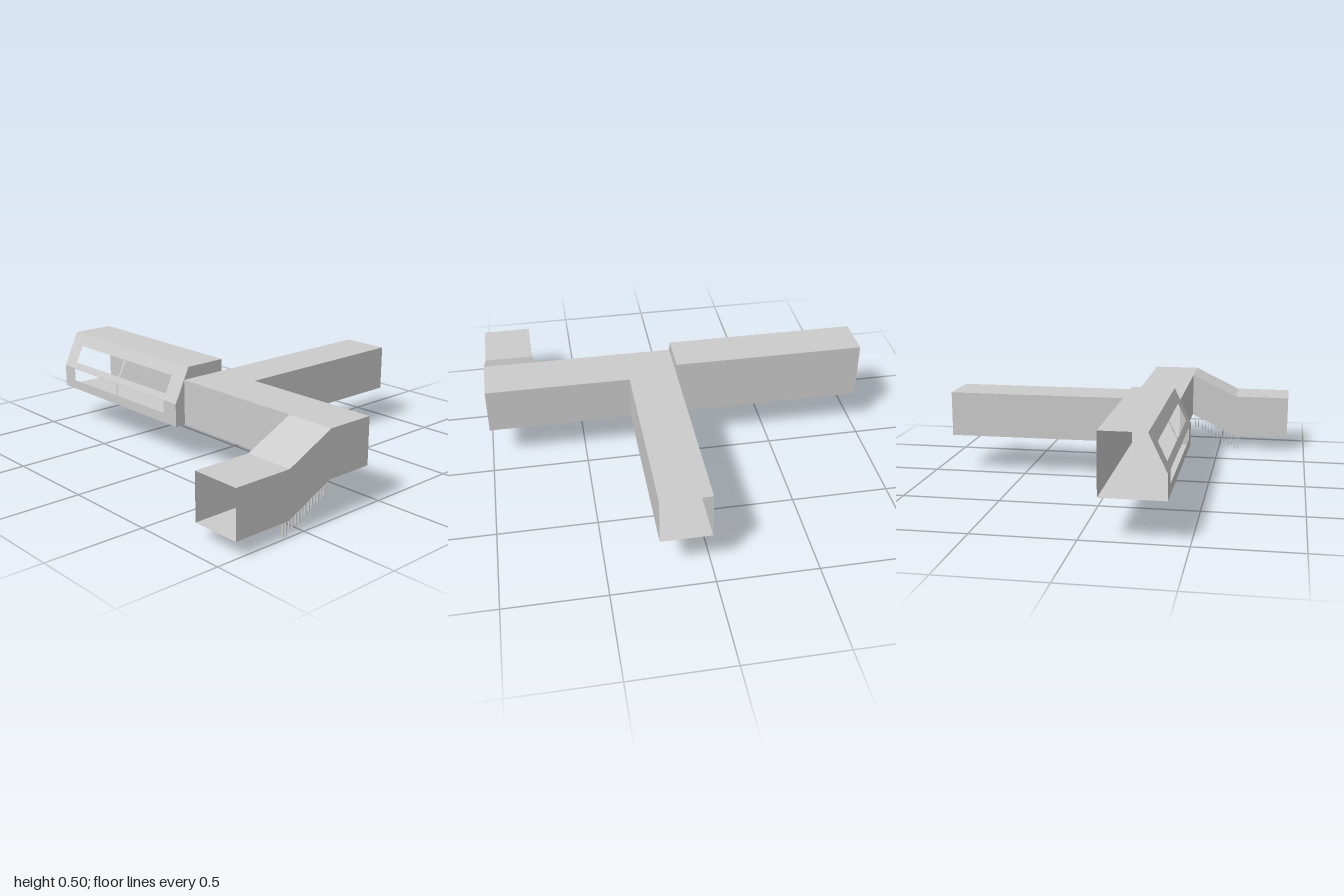
import * as THREE from 'three';

const material = new THREE.MeshStandardMaterial({ color: 0xcccccc, side: THREE.DoubleSide, flatShading: true });

// Main corridor levels and lines
const FLOOR = 0.2, ROOF = 0.437, BACK = 0.09, FRONT = 0.342;

function add(parent, name, geometry) {
  const mesh = new THREE.Mesh(geometry, material);
  mesh.name = name;
  parent.add(mesh);
  return mesh;
}

// Thin sheet spanning x0..x1 along a [z, y] path
function sheet(parent, name, x0, x1, path) {
  const pos = [];
  for (let i = 0; i + 1 < path.length; i++) {
    const [az, ay] = path[i], [bz, by] = path[i + 1];
    pos.push(x0, ay, az, x1, ay, az, x1, by, bz, x0, ay, az, x1, by, bz, x0, by, bz);
  }
  const g = new THREE.BufferGeometry();
  g.setAttribute('position', new THREE.Float32BufferAttribute(pos, 3));
  g.computeVertexNormals();
  return add(parent, name, g);
}

// Flat side wall at x from a [z, y] outline; dir is the way it faces
function sideWall(parent, name, x, dir, outline) {
  const shape = new THREE.Shape(outline.map(([z, y]) => new THREE.Vector2(-z * dir, y)));
  const g = new THREE.ShapeGeometry(shape);
  g.rotateY(dir * Math.PI / 2);
  g.translate(x, 0, 0);
  return add(parent, name, g);
}

const rect = (z0, z1, y0, y1) => [[z0, y0], [z1, y0], [z1, y1], [z0, y1]];

// Wall x -1..0 with two window openings side by side
function windowWall(height, y0, y1) {
  const box = (a, b, c, d) => [[a, c], [b, c], [b, d], [a, d]].map(p => new THREE.Vector2(...p));
  const shape = new THREE.Shape(box(-1, 0, 0, height));
  for (const [a, b] of [[-0.905, -0.507], [-0.495, -0.1]])
    shape.holes.push(new THREE.Path(box(a, b, y0, y1)));
  return new THREE.ShapeGeometry(shape);
}

function observationRoom() {
  const room = new THREE.Group();
  room.name = 'observationRoom';
  const top = 0.5, knee = 0.32, front = 0.4, eave = 0.313;
  sheet(room, 'roomShell', -1, 0, [[eave, top], [BACK, top], [BACK, FLOOR], [front, FLOOR]]);
  // Upright wall with the lower windows
  const lower = windowWall(knee - FLOOR, 0.05, 0.118);
  add(room, 'lowerWindowWall', lower).position.set(0, FLOOR, front);
  // Leaning wall with the upper windows
  const rise = top - knee, lean = front - eave, k = Math.hypot(rise, lean) / rise;
  const upper = windowWall(rise * k, 0.032 * k, 0.12 * k);
  const slope = add(room, 'upperWindowWall', upper);
  slope.position.set(0, knee, front);
  slope.rotation.x = -Math.atan2(lean, rise);
  // End plate around the corridor mouth
  sideWall(room, 'endPlate', 0, 1, [[BACK, ROOF], [FRONT, ROOF], [FRONT, FLOOR],
    [front, FLOOR], [front, knee], [eave, top], [BACK, top]]);
  return room;
}

function mainCorridor() {
  const hall = new THREE.Group();
  hall.name = 'mainCorridor';
  sheet(hall, 'corridorRoof', 0, 1, [[FRONT, ROOF], [BACK, ROOF]]);
  sheet(hall, 'corridorFloor', 0, 1, [[BACK, FLOOR], [FRONT, FLOOR]]);
  sheet(hall, 'corridorFrontWall', 0, 0.745, [[FRONT, FLOOR], [FRONT, ROOF]]);
  sheet(hall, 'corridorBackWall', 0.25, 1, [[BACK, ROOF], [BACK, FLOOR]]);
  sideWall(hall, 'corridorEndWall', 1, 1, rect(BACK, FRONT, FLOOR, ROOF));
  return hall;
}

function backCorridor() {
  const hall = new THREE.Group();
  hall.name = 'backCorridor';
  const end = -0.9;
  sheet(hall, 'backRoof', 0, 0.25, [[BACK, ROOF], [end, ROOF]]);
  sheet(hall, 'backFloor', 0, 0.25, [[end, FLOOR], [BACK, FLOOR]]);
  sideWall(hall, 'backRightWall', 0, -1, rect(end, BACK, FLOOR, ROOF));
  sideWall(hall, 'backLeftWall', 0.25, 1, rect(end, BACK, FLOOR, ROOF));
  return hall;
}

function stairTunnel() {
  const tunnel = new THREE.Group();
  tunnel.name = 'stairTunnel';
  const x0 = 0.745, x1 = 1, drop = 0.122, foot = 0.595, end = 0.9;
  const roof = [[end, ROOF - drop], [foot, ROOF - drop], [FRONT, ROOF]];
  const floor = [[FRONT, FLOOR], [foot, FLOOR - drop], [end, FLOOR - drop]];
  sheet(tunnel, 'tunnelRoof', x0, x1, roof);
  sheet(tunnel, 'tunnelFloor', x0, x1, floor);
  sideWall(tunnel, 'tunnelRightWall', x0, -1, [...roof, ...floor]);
  sideWall(tunnel, 'tunnelLeftWall', x1, 1, [...roof, ...floor]);

  // Treads on thin legs that pass through the sloping floor
  const steps = 7, legLength = 0.085;
  const tread = new THREE.BoxGeometry(0.235, 0.005, 0.034);
  const leg = new THREE.BoxGeometry(0.01, legLength, 0.003);
  for (let i = 0; i < steps; i++) {
    const step = new THREE.Group();
    step.name = 'step';
    step.position.set((x0 + x1) / 2, legLength + i * 0.0195, 0.603 - i * 0.0395);
    add(step, 'tread', tread);
    for (const sx of [-1, 1]) for (const sz of [-1, 1])
      add(step, 'stepLeg', leg).position.set(sx * 0.107, -legLength / 2, sz * 0.009);
    tunnel.add(step);
  }
  return tunnel;
}

export function createModel() {
  const model = new THREE.Group();
  model.name = 'corridorComplex';
  model.add(observationRoom(), mainCorridor(), backCorridor(), stairTunnel());
  return model;
}
